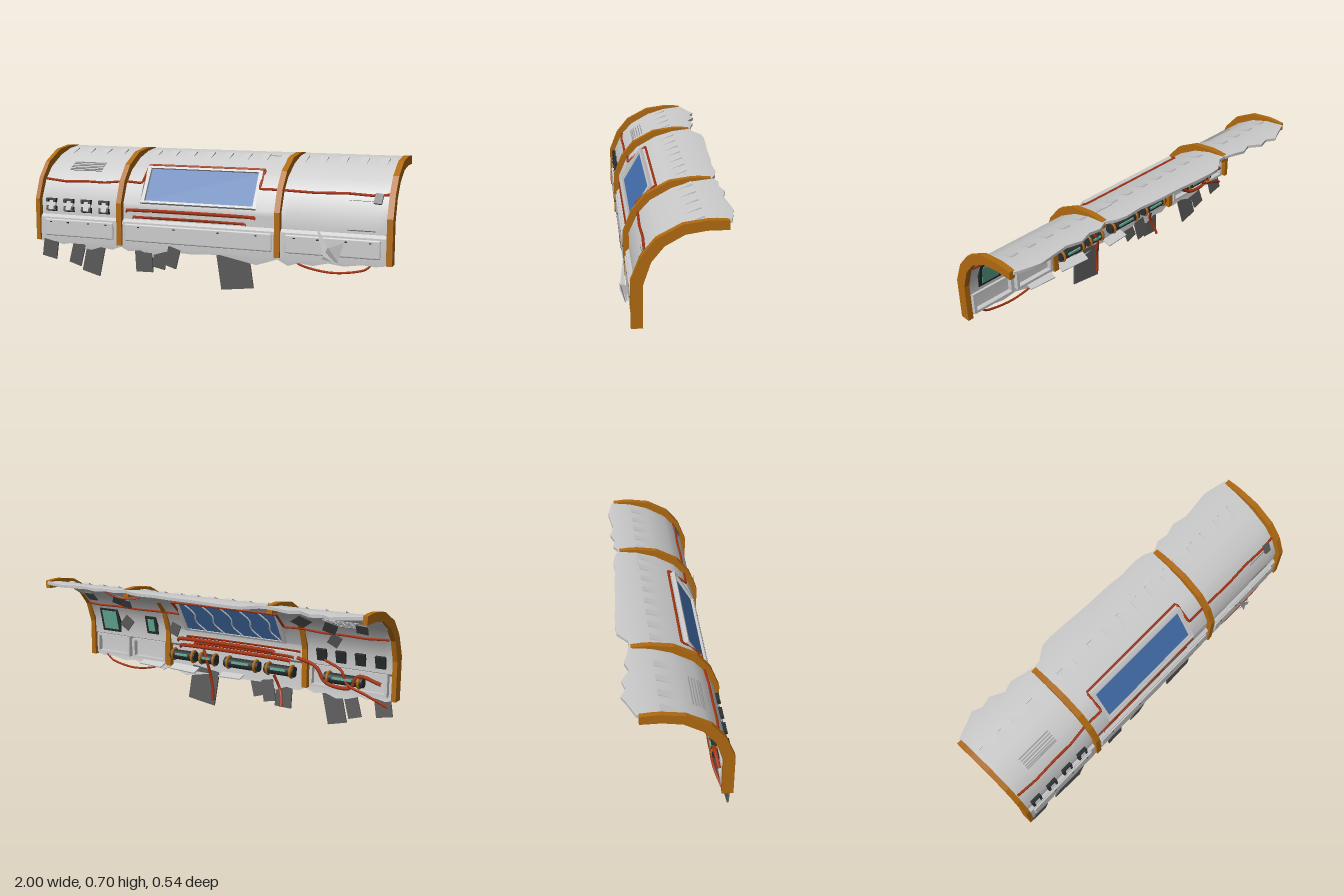
import * as THREE from 'three';
import { toCreasedNormals, mergeVertices } from 'three/addons/utils/BufferGeometryUtils.js';
import { RoundedBoxGeometry } from 'three/addons/geometries/RoundedBoxGeometry.js';

// Rib profiles as [z, y]
const RIB_OUT = [[0.235, 0.2], [0.235, 0.43], [0.19, 0.545], [0.122, 0.628], [0.005, 0.69], [-0.105, 0.705], [-0.145, 0.705], [-0.2, 0.7]];
const RIB_IN = [[0.18, 0.2], [0.18, 0.41], [0.143, 0.52], [0.085, 0.592], [-0.005, 0.643], [-0.1, 0.658], [-0.2, 0.658]];
// Shell profile as [z, y], from below the wall, past the ledge and over the roof
const P = [[0.21, 0.1], [0.225, 0.2], [0.223, 0.33], [0.206, 0.345], [0.206, 0.43], [0.162, 0.53],
  [0.1, 0.598], [-0.005, 0.657], [-0.105, 0.687], [-0.2, 0.698], [-0.3, 0.687]];
const FIRST = 1, LAST = 9;
const S = [0];
for (let i = 1; i < P.length; i++) S.push(S[i - 1] + Math.hypot(P[i][0] - P[i - 1][0], P[i][1] - P[i - 1][1]));
const segN = P.slice(1).map((p, i) => {
  const dz = p[0] - P[i][0], dy = p[1] - P[i][1], l = Math.hypot(dz, dy);
  return [dy / l, -dz / l];
});
const N = P.map((_, i) => {
  const a = segN[Math.max(0, i - 1)], b = segN[Math.min(segN.length - 1, i)];
  const l = Math.hypot(a[0] + b[0], a[1] + b[1]);
  return [(a[0] + b[0]) / l, (a[1] + b[1]) / l];
});

// Point and normal at a length along the profile, offset outward
function at(s, off = 0) {
  let i = 0;
  while (i < P.length - 2 && s > S[i + 1]) i++;
  const t = (s - S[i]) / (S[i + 1] - S[i]), mix = (A, k) => A[i][k] + (A[i + 1][k] - A[i][k]) * t;
  const nz = mix(N, 0), ny = mix(N, 1);
  return { z: mix(P, 0) + nz * off, y: mix(P, 1) + ny * off, tilt: -Math.atan2(ny, nz) };
}
const lookup = (k, v) => {
  for (let i = 0; i < P.length - 1; i++) {
    const a = P[i][k], b = P[i + 1][k];
    if (a !== b && (v - a) * (v - b) <= 0) return S[i] + (S[i + 1] - S[i]) * (v - a) / (b - a);
  }
  return 0;
};
const sY = y => lookup(1, y), sZ = z => lookup(0, z);

const mat = (color, side = THREE.FrontSide) => new THREE.MeshStandardMaterial({ color, side });
const M = {
  shell: mat(0xcccccc), ochre: mat(0xb06a10), red: mat(0xa83410), blue: mat(0x4470ad), teal: mat(0x66b09a),
  plate: mat(0x5c5c5c), dark: mat(0x2b2f2f), grey: mat(0xa4a4a4), torn: mat(0xcccccc, THREE.DoubleSide),
};

export function createModel() {
  const root = new THREE.Group();
  const add = (name, geo, m, x = 0, y = 0, z = 0, rx = 0, ry = 0, rz = 0) => {
    const mesh = new THREE.Mesh(geo, m);
    mesh.name = name;
    mesh.position.set(x, y, z);
    mesh.rotation.set(rx, ry, rz);
    root.add(mesh);
    return mesh;
  };
  const box = (w, h, d) => new THREE.BoxGeometry(w, h, d);
  // Box lying on the wall at length s
  const onWall = (name, size, m, x, s, off, rz = 0) => {
    const p = at(s, off);
    return add(name, box(...size), m, x, p.y, p.z, p.tilt, 0, rz);
  };
  const tube = (name, pts, r, tension = 0.5) => {
    const c = new THREE.CatmullRomCurve3(pts.map(p => new THREE.Vector3(...p)), false, 'catmullrom', tension);
    return add(name, new THREE.TubeGeometry(c, pts.length * 8, r, 6), M.red);
  };

  // Arched ribs
  const ribShape = new THREE.Shape([...RIB_OUT, ...[...RIB_IN].reverse()].map(([z, y]) => new THREE.Vector2(-z, y)));
  for (const [x, w] of [[-0.9875, 0.025], [-0.48, 0.03], [0.415, 0.03], [0.985, 0.03]]) {
    const g = new THREE.ExtrudeGeometry(ribShape, { depth: w, bevelEnabled: false });
    add('rib', g, M.ochre, x - w / 2, 0, 0, 0, Math.PI / 2);
  }

  // Curved shell panel with torn upper and lower edges; holes are [x0, x1, y0, y1]
  function panel(name, edge, holes = []) {
    const uniq = a => [...new Set(a)].sort((p, q) => p - q);
    const xs = uniq([...edge.map(e => e[0]), ...holes.flatMap(h => [h[0], h[1]])]);
    const rows = uniq([...S.slice(FIRST, LAST + 1), ...holes.flatMap(h => [sY(h[2]), sY(h[3])])]);
    const jag = (x, k) => {
      const i = Math.max(1, edge.findIndex(e => e[0] >= x)), a = edge[i - 1], b = edge[i];
      return a[k] + (b[k] - a[k]) * (x - a[0]) / (b[0] - a[0]);
    };
    const nr = rows.length + 2, nc = xs.length;
    const sAt = (c, r) => r === 0 ? S[FIRST] - jag(xs[c], 2) : r === nr - 1 ? S[LAST] + jag(xs[c], 1) : rows[r - 1];
    const solid = (c, r) => {
      if (c < 0 || r < 0 || c >= nc - 1 || r >= nr - 1) return false;
      const x = (xs[c] + xs[c + 1]) / 2, s = (sAt(c, r) + sAt(c, r + 1)) / 2;
      return !holes.some(h => x > h[0] && x < h[1] && s > sY(h[2]) && s < sY(h[3]));
    };
    const pos = [];
    const v = (c, r, off) => { const p = at(sAt(c, r), off); return [xs[c], p.y, p.z]; };
    const quad = (a, b, c, d) => pos.push(...a, ...b, ...c, ...a, ...c, ...d);
    for (let c = 0; c < nc - 1; c++) for (let r = 0; r < nr - 1; r++) {
      if (!solid(c, r)) continue;
      const k = [[c, r], [c + 1, r], [c + 1, r + 1], [c, r + 1]];
      const o = k.map(q => v(...q, 0)), n = k.map(q => v(...q, -0.016));
      quad(...o);
      quad(n[3], n[2], n[1], n[0]);
      [[c, r - 1], [c + 1, r], [c, r + 1], [c - 1, r]].forEach((q, i) => {
        const j = (i + 1) % 4;
        if (!solid(...q)) quad(n[i], n[j], o[j], o[i]);
      });
    }
    const g = new THREE.BufferGeometry();
    g.setAttribute('position', new THREE.Float32BufferAttribute(pos, 3));
    add(name, toCreasedNormals(mergeVertices(g), 0.65), M.shell);
  }
  // Edge rows: x, tear beyond the roof edge, tear below the wall
  panel('rightShell', [[-0.98, 0.01, 0.005], [-0.93, 0.03, 0.015], [-0.88, 0.05, 0.005], [-0.84, 0.07, 0.02],
    [-0.79, 0.045, 0.01], [-0.73, 0.06, 0.03], [-0.66, 0.02, 0.04], [-0.6, 0.04, 0.02], [-0.53, 0.02, 0.03], [-0.48, 0.01, 0.01]]);
  panel('middleShell', [[-0.48, 0.005, 0.005], [-0.43, 0.01, 0.03], [-0.36, 0.06, 0.02], [-0.3, 0.065, 0.045],
    [-0.2, 0.06, 0.015], [-0.06, 0.05, 0.02], [0.1, 0.045, 0.01], [0.2, 0.035, 0.03], [0.3, 0.04, 0.05], [0.36, 0.03, 0.03],
    [0.415, 0.005, 0.01]], [[-0.365, 0.29, 0.431, 0.612], [-0.45, 0.29, 0.385, 0.401], [-0.41, 0.23, 0.35, 0.364]]);
  panel('leftShell', [[0.415, 0.005, 0.01], [0.47, 0.03, 0.04], [0.53, 0.02, 0.02], [0.6, 0.04, 0.03],
    [0.68, 0.02, 0.01], [0.76, 0.03, 0.02], [0.85, 0.04, 0.005], [0.92, 0.025, 0.01], [0.98, 0.01, 0]]);
  // Torn strips curled in under the lower edge
  for (const [x, w, rx, rz] of [[0.3, 0.18, 1.15, 0.06], [-0.02, 0.14, 1.3, -0.05], [0.53, 0.16, 1.2, 0.05]])
    add('curledStrip', box(w, 0.055, 0.007), M.shell, x, 0.2, 0.183, rx, 0, rz);

  // Recessed window with frame and cracked bracing on its inner face
  const win = new THREE.Group();
  win.name = 'window';
  win.position.set(-0.0375, 0.523, 0.1335);
  win.rotation.x = -0.529;
  root.add(win);
  const rect = (T, w, h) => new T([[-w, -h], [w, -h], [w, h], [-w, h]].map(p => new THREE.Vector2(...p)));
  const frameShape = rect(THREE.Shape, 0.33, 0.108);
  frameShape.holes.push(rect(THREE.Path, 0.308, 0.096));
  const frame = new THREE.Mesh(new THREE.ExtrudeGeometry(frameShape, { depth: 0.025, bevelEnabled: false }), M.shell);
  frame.name = 'windowFrame';
  frame.position.z = -0.008;
  const pane = new THREE.Mesh(box(0.62, 0.195, 0.006), M.blue);
  pane.name = 'windowPane';
  win.add(frame, pane);
  for (let i = 0; i < 5; i++) {
    const x = -0.26 + i * 0.12;
    const c = new THREE.CatmullRomCurve3([[-0.04, -0.095], [0.01, -0.03], [0, 0.02], [0.06, 0.095]]
      .map(p => new THREE.Vector3(x + p[0], p[1], -0.005)));
    const crack = new THREE.Mesh(new THREE.TubeGeometry(c, 10, 0.005, 4), M.shell);
    crack.name = 'windowCrack';
    win.add(crack);
  }

  // Cable along both faces of the wall, routed around the window
  const route = [[-0.97, 0.535], [-0.85, 0.525], [-0.72, 0.53], [-0.6, 0.528], [-0.48, 0.54], [-0.38, 0.535], [-0.372, 0.54],
    [-0.372, 0.615], [-0.368, 0.622], [0.29, 0.622], [0.295, 0.615], [0.295, 0.54], [0.3, 0.535], [0.41, 0.535],
    [0.6, 0.53], [0.75, 0.535], [0.88, 0.53], [0.97, 0.537]];
  for (const off of [0.003, -0.018])
    tube('wallCable', route.map(([x, y]) => { const p = at(sY(y), off); return [x, p.y, p.z]; }), 0.007, 0.05);

  // Pipes in and behind the slots
  for (const [y, a, b, z] of [[0.393, -0.45, 0.29, 0.2], [0.357, -0.41, 0.24, 0.198], [0.375, -0.3, 0.34, 0.176], [0.34, -0.4, 0.32, 0.172]])
    tube('slotPipe', [[a, y - 0.012, z], [a + 0.03, y, z], [(a + b) / 2, y + 0.003, z], [b - 0.03, y, z], [b, y - 0.012, z]], 0.011);

  // Roof vents: tilted scoops outside, ridges inside
  for (let i = 0; i < 18; i++) {
    const x = -0.93 + i * 0.107;
    if (Math.abs(x + 0.48) < 0.04 || Math.abs(x - 0.415) < 0.04) continue;
    onWall('roofVent', [0.042, 0.1, 0.008], M.shell, x, sZ(-0.055), -0.001).rotateX(0.08);
    onWall('roofVentInner', [0.055, 0.11, 0.01], M.shell, x, sZ(-0.085), -0.017);
  }
  onWall('roofHatch', [0.11, 0.02, 0.006], M.shell, 0.33, sZ(-0.1), 0.002);

  // Lower storage covers with rounded edges, and the ledge above them
  for (const [a, b] of [[-0.95, -0.52], [-0.45, 0.385], [0.455, 0.94]]) {
    const x = (a + b) / 2, w = b - a;
    add('storageCover', new RoundedBoxGeometry(w, 0.095, 0.018, 2, 0.008), M.shell, x, 0.274, 0.222);
    for (const k of [-0.4, -0.15, 0.15, 0.4]) add('coverLatch', box(0.012, 0.006, 0.004), M.dark, x + w * k, 0.305, 0.231);
  }
  // Hollow bins on the inner side
  for (const [x, w] of [[0.83, 0.25], [0.56, 0.24], [-0.73, 0.44]]) {
    const s = rect(THREE.Shape, w / 2, 0.06);
    s.holes.push(rect(THREE.Path, w / 2 - 0.015, 0.045));
    add('storageBin', new THREE.ExtrudeGeometry(s, { depth: 0.03, bevelEnabled: false }), M.shell, x, 0.275, 0.182);
  }

  // Socket row
  for (const x of [-0.91, -0.8, -0.69, -0.58]) {
    onWall('socket', [0.05, 0.06, 0.02], M.shell, x, sY(0.4), 0.002);
    for (const k of [-1, 1]) {
      onWall('socketClamp', [0.062, 0.012, 0.024], M.dark, x, sY(0.398 + k * 0.03), 0.004);
      for (const j of [-1, 1]) onWall('socketClaw', [0.013, 0.022, 0.028], M.dark, x + j * 0.023, sY(0.4 + k * 0.022), 0.005);
    }
    onWall('socketBack', [0.055, 0.065, 0.016], M.dark, x, sY(0.4), -0.022);
  }

  // Slatted vent showing on both faces
  for (let i = 0; i < 6; i++) for (const off of [0.001, -0.017])
    onWall('ventSlat', [0.2, 0.005, 0.006], M.grey, -0.745, sY(0.585 + i * 0.0075), off);

  // Machinery cylinders with collars
  for (const [a, b] of [[0.39, 0.22], [0.19, 0.08], [0.02, -0.2], [-0.24, -0.42], [-0.6, -0.82]]) {
    const x = (a + b) / 2, w = a - b;
    add('machineCylinder', new THREE.CylinderGeometry(0.029, 0.029, w, 12), M.dark, x, 0.275, 0.187, 0, 0, Math.PI / 2);
    add('machineStrip', box(w * 0.5, 0.012, 0.01), M.teal, x, 0.283, 0.159);
    for (const k of [-0.4, 0.4])
      add('collar', new THREE.TorusGeometry(0.031, 0.008, 6, 14), M.ochre, x + w * k, 0.275, 0.189, 0, Math.PI / 2);
  }

  // Inner screens
  for (const [x, w, h] of [[0.84, 0.14, 0.15], [0.53, 0.08, 0.11]]) {
    onWall('screenFrame', [w, h, 0.016], M.dark, x, sY(0.435), -0.022);
    onWall('screen', [w - 0.035, h - 0.035, 0.006], M.teal, x, sY(0.435), -0.03);
  }

  // Loose plates hanging below: x, y, z, width, height, tilt, roll
  for (const [x, y, z, w, h, rx, rz] of [[-0.92, 0.15, 0.22, 0.09, 0.1, 0.1, -0.2], [-0.75, 0.135, 0.215, 0.075, 0.13, 0.08, -0.3],
    [-0.65, 0.11, 0.21, 0.11, 0.17, 0.06, -0.25], [-0.34, 0.14, 0.215, 0.1, 0.155, 0.05, 0.03], [-0.25, 0.145, 0.205, 0.075, 0.12, 0.1, -0.2],
    [-0.17, 0.155, 0.22, 0.07, 0.11, 0.1, -0.3], [0.18, 0.1125, 0.207, 0.18, 0.2, 0.05, 0.13]])
    add('hangingPlate', box(w, h, 0.008), M.plate, x, y, z, rx, 0, rz);

  // Loose plates on the inner wall: x, y, size, roll
  for (const [x, y, d, rz] of [[0.89, 0.61, 0.06, 0.05], [0.69, 0.6, 0.075, 0.6], [0.65, 0.58, 0.055, 0.2], [0.71, 0.43, 0.065, 0.7],
    [0.36, 0.43, 0.06, 0.4], [-0.52, 0.61, 0.08, 0.9], [-0.67, 0.585, 0.07, 0.5], [-0.85, 0.6, 0.06, 0.2], [-0.67, 0.5, 0.06, 0.6]])
    onWall('innerPlate', [d, d * 1.15, 0.008], M.plate, x, sY(y), -0.032, rz).rotateX(0.15);
  onWall('outerPlate', [0.04, 0.055, 0.012], M.plate, 0.915, sY(0.515), 0.006, -0.1);

  // Bent shards on the torn cover
  for (const t of [[0.62, 0.385, 0.245, 0.73, 0.19, 0.238, 0.665, 0.235, 0.268], [0.65, 0.21, 0.235, 0.74, 0.2, 0.245, 0.69, 0.28, 0.27],
    [0.73, 0.2, 0.235, 0.76, 0.3, 0.232, 0.68, 0.27, 0.262]]) {
    const g = new THREE.BufferGeometry();
    g.setAttribute('position', new THREE.Float32BufferAttribute(t, 3));
    g.computeVertexNormals();
    add('tornShard', g, M.torn);
  }

  // Loose wires and hoses
  tube('hangingWire', [[0.47, 0.21, 0.21], [0.55, 0.165, 0.215], [0.7, 0.143, 0.215], [0.85, 0.165, 0.215], [0.9, 0.205, 0.21]], 0.006);
  tube('roofWire', [[0.73, 0.655, -0.045], [0.66, 0.61, 0], [0.58, 0.6, 0.03], [0.49, 0.612, 0.065]], 0.004);
  tube('hose', [[0.16, 0.33, 0.175], [0.13, 0.27, 0.162], [0.12, 0.18, 0.185], [0.11, 0.1, 0.193], [0.11, 0.035, 0.193]], 0.008);
  tube('hose', [[-0.3, 0.25, 0.17], [-0.32, 0.18, 0.195], [-0.34, 0.13, 0.185], [-0.35, 0.075, 0.168]], 0.008);
  tube('hose', [[-0.44, 0.36, 0.175], [-0.55, 0.33, 0.17], [-0.62, 0.25, 0.165], [-0.75, 0.24, 0.165], [-0.8, 0.31, 0.168], [-0.92, 0.28, 0.178]], 0.01);
  tube('hose', [[-0.6, 0.37, 0.175], [-0.7, 0.33, 0.165], [-0.74, 0.26, 0.16], [-0.84, 0.22, 0.165], [-0.95, 0.16, 0.2]], 0.007);
  return root;
}
